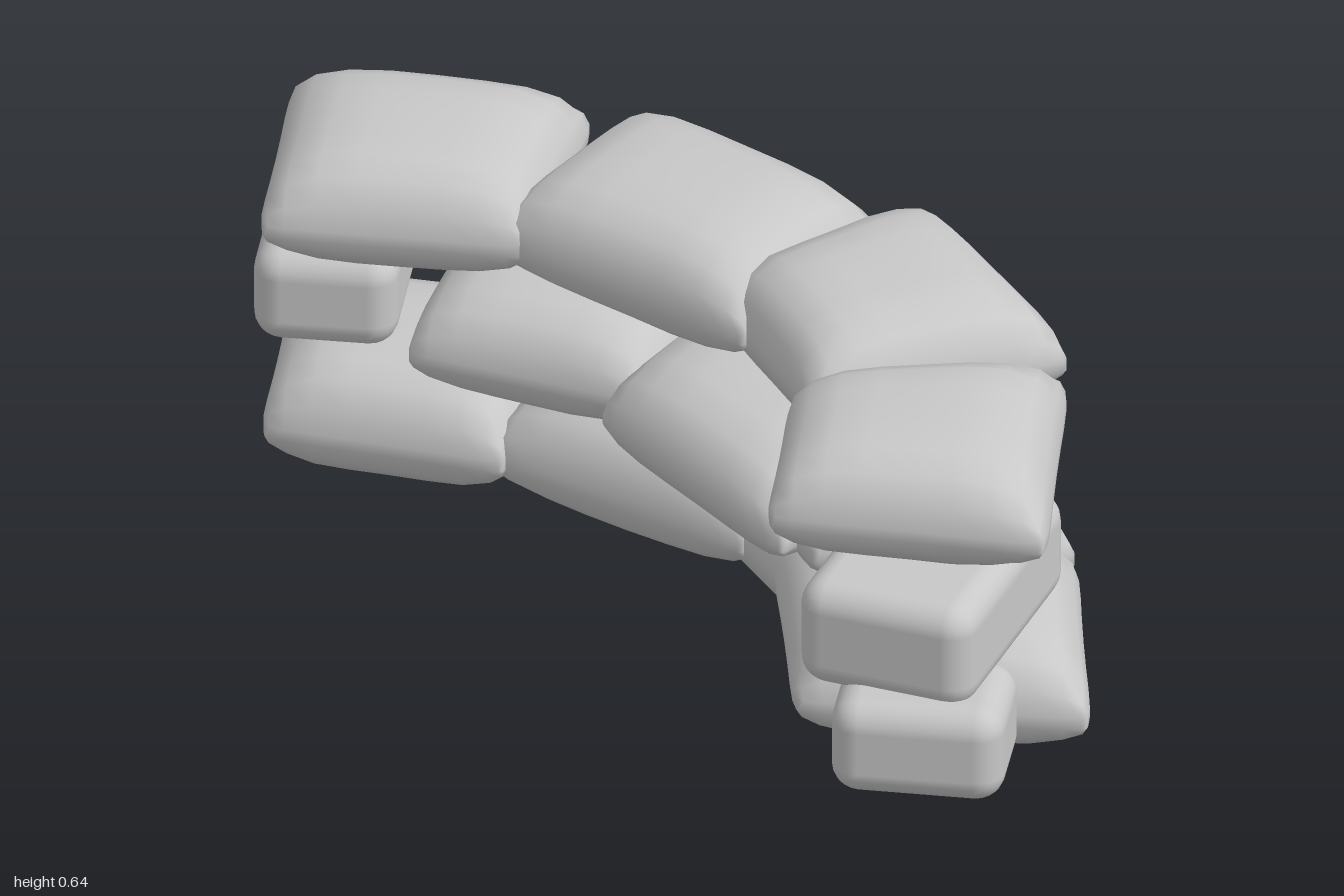
import * as THREE from 'three';
import { mergeVertices } from 'three/addons/utils/BufferGeometryUtils.js';
import { RoundedBoxGeometry } from 'three/addons/geometries/RoundedBoxGeometry.js';

const sackCloth = new THREE.MeshStandardMaterial({ color: 0xc8c8c8 });
sackCloth.name = 'greySackcloth';

// Stuffed bag over a four-cornered footprint: full in the middle, pinched to a seam around the rim
function pillowGeometry([ax, az, bx, bz, cx, cz, dx, dz], height, phase) {
  const geo = new THREE.BoxGeometry(2, 2, 2, 10, 1, 10);
  geo.deleteAttribute('normal');
  geo.deleteAttribute('uv');
  const p = geo.attributes.position;
  for (let i = 0; i < p.count; i++) {
    const u = Math.sin(p.getX(i) * Math.PI / 2);
    const v = Math.sin(p.getZ(i) * Math.PI / 2);
    const side = Math.sign(p.getY(i));
    const fill = Math.max(0, (1 - u ** 4) * (1 - v ** 4)) ** 0.53;
    const sag = 0.04 * Math.abs(Math.sin(3 * u + phase) * Math.cos(2.5 * v + phase)) * fill;
    const y = side * (0.1 + 0.9 * fill - sag) - 0.15 * (1 - fill);
    // Blunt the corners and draw the edges in a little, then blend between the four corners
    const corner = 1 - 0.045 * u ** 8 * v ** 8;
    const s = (1 + u * corner * (1 - 0.02 * (1 - v * v))) / 2;
    const t = (1 + v * corner * (1 - 0.02 * (1 - u * u))) / 2;
    const blend = (a, b, c, d) => (a * (1 - s) + b * s) * (1 - t) + (d * (1 - s) + c * s) * t;
    p.setXYZ(i, blend(ax, bx, cx, dx), y * height / 2, blend(az, bz, cz, dz));
  }
  const merged = mergeVertices(geo, 1e-5);
  merged.computeVertexNormals();
  return merged;
}

// Bags: footprint corners as x, z pairs, running clockwise from above
// Fillers: x, z, direction of length (dx, dz), width, length, y, height
const layers = [
  {
    name: 'bottomRow', y: 0.118, height: 0.232,
    bags: [
      [-0.37, -0.73, -0.03, -1.01, 0.28, -0.56, -0.15, -0.35],
      [-0.15, -0.42, 0.30, -0.51, 0.39, 0.04, -0.04, 0.13],
      [0.0, 0.0, 0.44, 0.03, 0.36, 0.55, -0.11, 0.37],
      [-0.34, 0.56, -0.03, 0.18, 0.33, 0.57, -0.01, 0.96],
    ],
    fillers: [[-0.29, 0.835, -0.79, 0.61, 0.30, 0.225, 0.165, 0.18]],
  },
  {
    name: 'middleRow', y: 0.325, height: 0.215,
    bags: [
      [-0.26, -0.49, 0.14, -0.72, 0.34, -0.23, -0.08, -0.08],
      [-0.16, -0.12, 0.42, -0.24, 0.42, 0.28, -0.24, 0.43],
      [-0.08, 0.15, 0.39, 0.23, 0.14, 0.72, -0.22, 0.48],
    ],
    fillers: [
      [-0.15, 0.705, -0.9, 0.42, 0.32, 0.48, 0.33, 0.20],
      [-0.12, -0.795, 0.62, 0.78, 0.39, 0.25, 0.338, 0.18],
    ],
  },
  {
    name: 'topRow', y: 0.53, height: 0.222,
    bags: [
      [-0.39, -0.715, -0.03, -1.01, 0.28, -0.575, -0.10, -0.34],
      [-0.12, -0.43, 0.32, -0.52, 0.38, 0.05, -0.04, 0.13],
      [0.01, 0.0, 0.465, 0.05, 0.32, 0.57, -0.12, 0.38],
      [-0.425, 0.58, -0.13, 0.33, 0.26, 0.62, -0.14, 0.985],
    ],
    fillers: [],
  },
];

function addBag(row, name, geometry, x, y, z, turn) {
  const mesh = new THREE.Mesh(geometry, sackCloth);
  mesh.name = name;
  mesh.position.set(x, y, z);
  mesh.rotation.y = turn;
  row.add(mesh);
}

export function createModel() {
  const wall = new THREE.Group();
  wall.name = 'sandbagWall';
  layers.forEach((layer, k) => {
    const row = new THREE.Group();
    row.name = layer.name;
    layer.bags.forEach((corners, i) => {
      const geo = pillowGeometry(corners, layer.height, i * 1.7 + k);
      addBag(row, 'sandbag' + (i + 1), geo, 0, layer.y, 0, 0);
    });
    layer.fillers.forEach(([x, z, dx, dz, w, l, y, h], i) => {
      const geo = new RoundedBoxGeometry(w, h, l, 3, 0.05);
      addBag(row, 'endSandbag' + (i + 1), geo, x, y, z, Math.atan2(dx, dz));
    });
    wall.add(row);
  });
  return wall;
}
